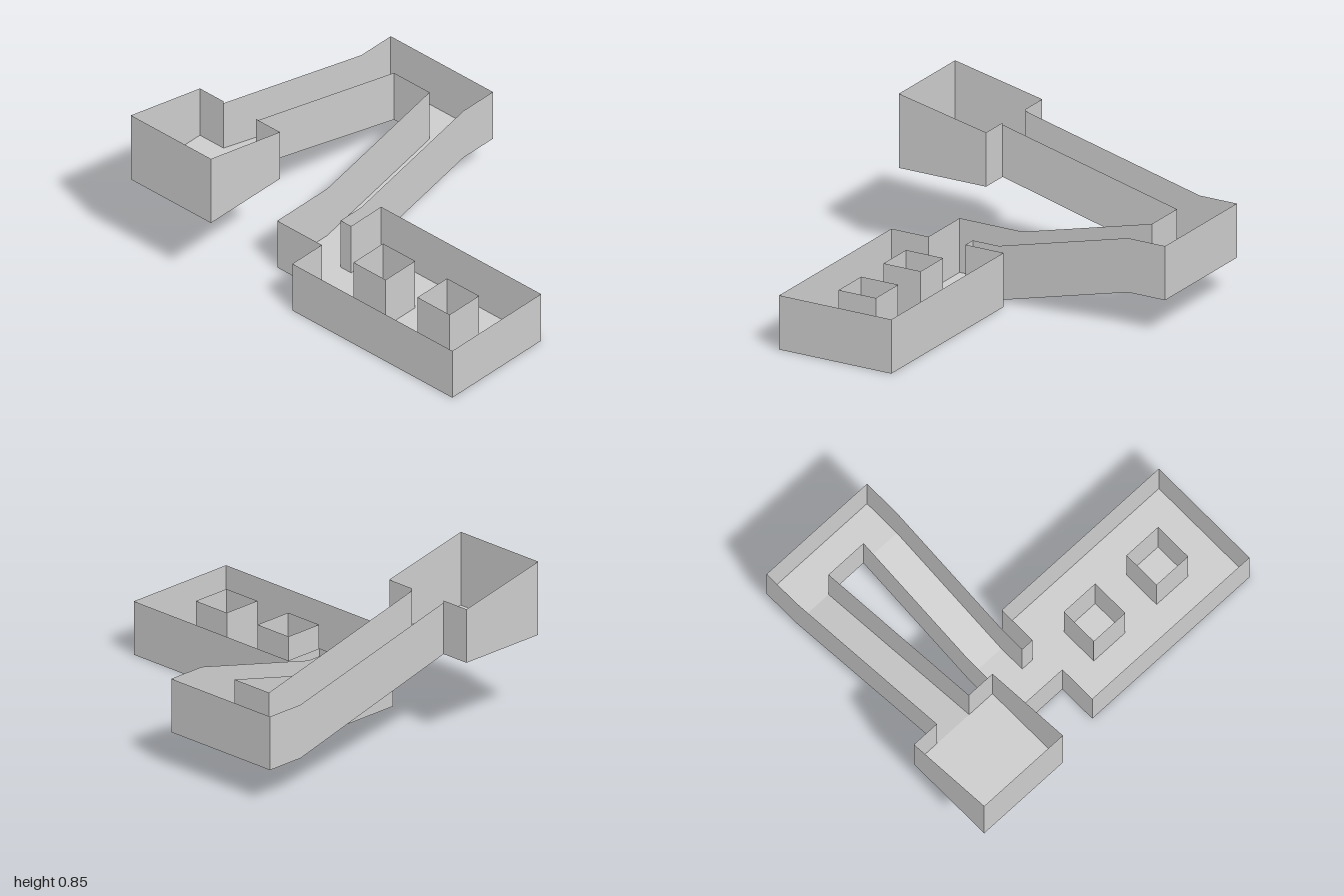
import * as THREE from 'three';

const stone = new THREE.MeshStandardMaterial({ color: 0xcccccc, side: THREE.DoubleSide });
stone.name = 'plain grey';

// Mesh of flat quads; corners run counter-clockwise seen from the front.
function quadMesh(name, quads) {
  const pos = quads.flatMap(([a, b, c, d]) => [a, b, c, a, c, d].flat());
  const geo = new THREE.BufferGeometry();
  geo.setAttribute('position', new THREE.Float32BufferAttribute(pos, 3));
  geo.computeVertexNormals();
  const mesh = new THREE.Mesh(geo, stone);
  mesh.name = name;
  return mesh;
}

// Upright walls along a plan path of [x, z]; floorY and topY are heights by z.
function walls(name, path, floorY, topY) {
  const quads = path.slice(1).map(([x2, z2], i) => {
    const [x1, z1] = path[i];
    return [[x1, floorY(z1), z1], [x2, floorY(z2), z2], [x2, topY(z2), z2], [x1, topY(z1), z1]];
  });
  return quadMesh(name, quads);
}

// Rectangular floor from (x1, z1) to (x2, z2), sloping with z.
function floor(name, x1, z1, x2, z2, floorY) {
  return quadMesh(name, [[
    [x1, floorY(z1), z1], [x1, floorY(z2), z2], [x2, floorY(z2), z2], [x2, floorY(z1), z1],
  ]]);
}

const flat = (y) => () => y;
const slope = (z1, y1, z2, y2) => (z) => y1 + ((y2 - y1) * (z - z1)) / (z2 - z1);

function section(name, ...meshes) {
  const group = new THREE.Group();
  group.name = name;
  group.add(...meshes);
  return group;
}

export function createModel() {
  const model = new THREE.Group();
  model.name = 'roomsAndRamps';
  const low = flat(0), lowTop = flat(0.288);

  // Large lower room with a doorway on its right side and two hollow pillars
  const lowerRoom = section('lowerRoom',
    floor('lowerRoomFloor', -0.08, 0.03, 1, 0.68, low),
    walls('lowerRoomWalls',
      [[-0.08, 0.465], [-0.08, 0.68], [1, 0.68], [1, 0.03], [-0.08, 0.03], [-0.08, 0.25]], low, lowTop));
  for (const x of [0.136, 0.568]) {
    const x2 = x + 0.216;
    lowerRoom.add(walls('pillar',
      [[x, 0.25], [x, 0.465], [x2, 0.465], [x2, 0.25], [x, 0.25]], low, lowTop));
  }

  // Bent corridor into the lower room
  const corridor = section('corridor',
    floor('corridorFloor', -0.38, 0.1, -0.15, 0.465, low),
    floor('doorwayFloor', -0.15, 0.25, -0.08, 0.465, low),
    walls('corridorOuterWalls', [[-0.38, 0.1], [-0.38, 0.465], [-0.08, 0.465]], low, lowTop),
    walls('corridorInnerWalls', [[-0.08, 0.25], [-0.15, 0.25], [-0.15, 0.1]], low, lowTop));

  // Ramps
  const ramp = (name, x1, x2, zEnd, floorY, topY) => section(name,
    floor(name + 'Floor', x1, -0.65, x2, zEnd, floorY),
    walls(name + 'RightWall', [[x1, -0.65], [x1, zEnd]], floorY, topY),
    walls(name + 'LeftWall', [[x2, zEnd], [x2, -0.65]], floorY, topY));
  const lowerRamp = ramp('lowerRamp', -0.38, -0.15, 0.1,
    slope(-0.65, 0.19, 0.1, 0), slope(-0.65, 0.478, 0.1, 0.288));
  const upperRamp = ramp('upperRamp', -0.84, -0.62, 0.36,
    slope(-0.65, 0.19, 0.36, 0.45), slope(-0.65, 0.478, 0.36, 0.727));

  // Turning landing at the back
  const mid = flat(0.19), midTop = flat(0.478);
  const landing = section('landing',
    floor('landingFloor', -0.84, -0.865, -0.15, -0.65, mid),
    walls('landingOuterWalls', [[-0.15, -0.65], [-0.15, -0.865], [-0.84, -0.865], [-0.84, -0.65]], mid, midTop),
    walls('landingInnerWall', [[-0.62, -0.65], [-0.38, -0.65]], mid, midTop));

  // Upper room, its walls rising toward the front
  const high = flat(0.45);
  const upperRoom = section('upperRoom',
    floor('upperRoomFloor', -1, 0.36, -0.46, 0.865, high),
    walls('upperRoomWalls',
      [[-0.84, 0.36], [-1, 0.36], [-1, 0.865], [-0.46, 0.865], [-0.46, 0.36], [-0.62, 0.36]],
      high, slope(0.36, 0.738, 0.865, 0.845)));

  model.add(lowerRoom, corridor, lowerRamp, upperRamp, landing, upperRoom);
  return model;
}
